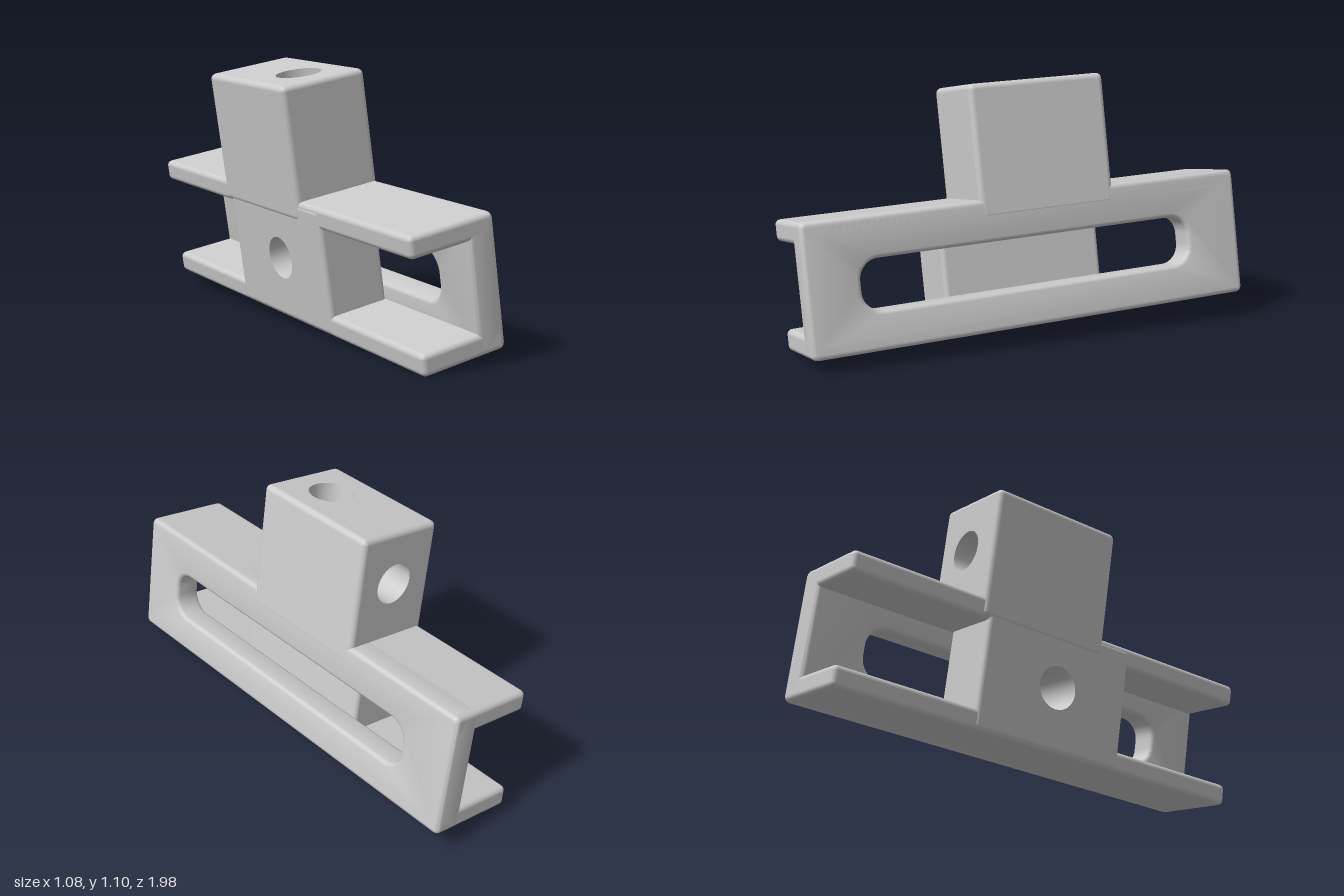
import * as THREE from 'three';
import { RoundedBoxGeometry } from 'three/addons/geometries/RoundedBoxGeometry.js';
import { toCreasedNormals } from 'three/addons/utils/BufferGeometryUtils.js';

const material = new THREE.MeshStandardMaterial({ color: 0xcccccc });
const boreMaterial = new THREE.MeshStandardMaterial({ color: 0xcccccc, side: THREE.DoubleSide });

function mesh(name, geometry, mat = material) {
  const m = new THREE.Mesh(geometry, mat);
  m.name = name;
  return m;
}

// Rectangle outline with rounded corners, given by its limits
function roundRect(Type, x0, y0, x1, y1, r) {
  const s = new Type();
  s.moveTo(x0 + r, y0);
  s.lineTo(x1 - r, y0);
  s.absarc(x1 - r, y0 + r, r, -Math.PI / 2, 0);
  s.absarc(x1 - r, y1 - r, r, 0, Math.PI / 2);
  s.absarc(x0 + r, y1 - r, r, Math.PI / 2, Math.PI);
  s.absarc(x0 + r, y0 + r, r, Math.PI, Math.PI * 1.5);
  return s;
}

// Rounded box between two corners
function softBox(min, max, r) {
  const a = new THREE.Vector3(...min), b = new THREE.Vector3(...max);
  const size = b.clone().sub(a), mid = a.add(b).multiplyScalar(0.5);
  return new RoundedBoxGeometry(size.x, size.y, size.z, 3, r).translate(mid.x, mid.y, mid.z);
}

// Remove the flat panel of a rounded box on the side that faces n
function openFace(geometry, n) {
  const pos = geometry.attributes.position, nor = geometry.attributes.normal;
  const p = [], q = [], v = new THREE.Vector3();
  for (let t = 0; t < pos.count; t += 3) {
    const flat = [0, 1, 2].every(k => v.fromBufferAttribute(nor, t + k).dot(n) > 0.9999);
    if (flat) continue;
    for (let k = t; k < t + 3; k++) {
      p.push(pos.getX(k), pos.getY(k), pos.getZ(k));
      q.push(nor.getX(k), nor.getY(k), nor.getZ(k));
    }
  }
  const out = new THREE.BufferGeometry();
  out.setAttribute('position', new THREE.Float32BufferAttribute(p, 3));
  out.setAttribute('normal', new THREE.Float32BufferAttribute(q, 3));
  return out;
}

// Rounded block with blind round holes: each hole has a face normal, mouth centre, radius, depth
function boredBlock(name, min, max, r, holes) {
  const group = new THREE.Group();
  group.name = name;
  let body = softBox(min, max, r);
  const mid = new THREE.Vector3(...min).add(new THREE.Vector3(...max)).multiplyScalar(0.5);
  const half = new THREE.Vector3(...max).sub(mid).subScalar(r);
  for (const h of holes) {
    const n = new THREE.Vector3(...h.normal);
    body = openFace(body, n);
    const up = Math.abs(n.y) > 0.5 ? new THREE.Vector3(0, 0, 1) : new THREE.Vector3(0, 1, 0);
    const right = up.clone().cross(n);
    const mouth = new THREE.Vector3(...h.at);
    const off = mid.clone().sub(mouth);
    const cx = off.dot(right), cy = off.dot(up);
    const hx = Math.abs(half.dot(right)), hy = Math.abs(half.dot(up));
    const panel = new THREE.Shape([
      new THREE.Vector2(cx - hx, cy - hy), new THREE.Vector2(cx + hx, cy - hy),
      new THREE.Vector2(cx + hx, cy + hy), new THREE.Vector2(cx - hx, cy + hy)]);
    panel.holes.push(new THREE.Path().absarc(0, 0, h.radius, 0, Math.PI * 2, true));
    const bore = new THREE.CylinderGeometry(h.radius, h.radius, h.depth, 32, 1, true)
      .rotateX(Math.PI / 2).translate(0, 0, -h.depth / 2);
    const floor = new THREE.CircleGeometry(h.radius, 32).translate(0, 0, -h.depth);
    const face = new THREE.Group();
    face.name = h.name;
    face.add(mesh('holeFace', new THREE.ShapeGeometry(panel, 16)),
      mesh('holeWall', bore, boreMaterial), mesh('holeFloor', floor));
    face.quaternion.setFromRotationMatrix(new THREE.Matrix4().makeBasis(right, up, n));
    face.position.copy(mouth);
    group.add(face);
  }
  group.add(mesh(name + 'Body', body));
  return group;
}

export function createModel() {
  const H = 0.543, D = 0.385, L = 0.98, webT = 0.12, flangeT = 0.09, b = 0.018;
  const bracket = new THREE.Group();
  bracket.name = 'slottedBracket';

  // Web of the channel with its long slot
  const outline = roundRect(THREE.Shape, -L + b, b, L - b, H - b, 0.01);
  outline.holes.push(roundRect(THREE.Path, -0.756 - b, 0.16 - b, 0.727 + b, 0.368 + b, 0.1));
  const web = new THREE.ExtrudeGeometry(outline, {
    depth: webT - 2 * b, bevelEnabled: true, bevelSize: b, bevelThickness: b,
    bevelSegments: 3, curveSegments: 10
  });
  web.translate(0, 0, -webT + b).rotateY(Math.PI / 2);
  bracket.add(mesh('slottedWeb', toCreasedNormals(web, 0.7)));

  // Two flanges reaching back from the web
  for (const [name, y] of [['bottomFlange', 0], ['topFlange', H - flangeT]]) {
    bracket.add(mesh(name, softBox([-D, y, -L], [0, y + flangeT, L], 0.022)));
  }

  // Filler block inside the channel, with a hole in its back
  bracket.add(boredBlock('channelBlock', [-D - 0.003, 0.006, -0.35], [-webT + 0.004, 0.53, 0.37], 0.02, [
    { name: 'backHole', normal: [-1, 0, 0], at: [-D - 0.003, 0.27, 0.02], radius: 0.09, depth: 0.24 }
  ]));

  // Upright block above the channel, with holes in its top and end
  bracket.add(boredBlock('uprightBlock', [-0.392, 0.46, -0.385], [0.001, 1.015, 0.225], 0.024, [
    { name: 'topHole', normal: [0, 1, 0], at: [-0.192, 1.015, 0.027], radius: 0.095, depth: 0.5 },
    { name: 'endHole', normal: [0, 0, -1], at: [-0.192, 0.785, -0.385], radius: 0.087, depth: 0.31 }
  ]));

  // Tilted pose of the whole bracket
  const along = new THREE.Vector3(-0.33, -0.03, 0.944).normalize();
  const out = new THREE.Vector3(-0.165, 0.985, -0.027).cross(along).normalize();
  const up = along.clone().cross(out);
  bracket.quaternion.setFromRotationMatrix(new THREE.Matrix4().makeBasis(out, up, along));
  bracket.position.set(0.22, 0.098, 0.068);

  const model = new THREE.Group();
  model.name = 'model';
  model.add(bracket);
  return model;
}
